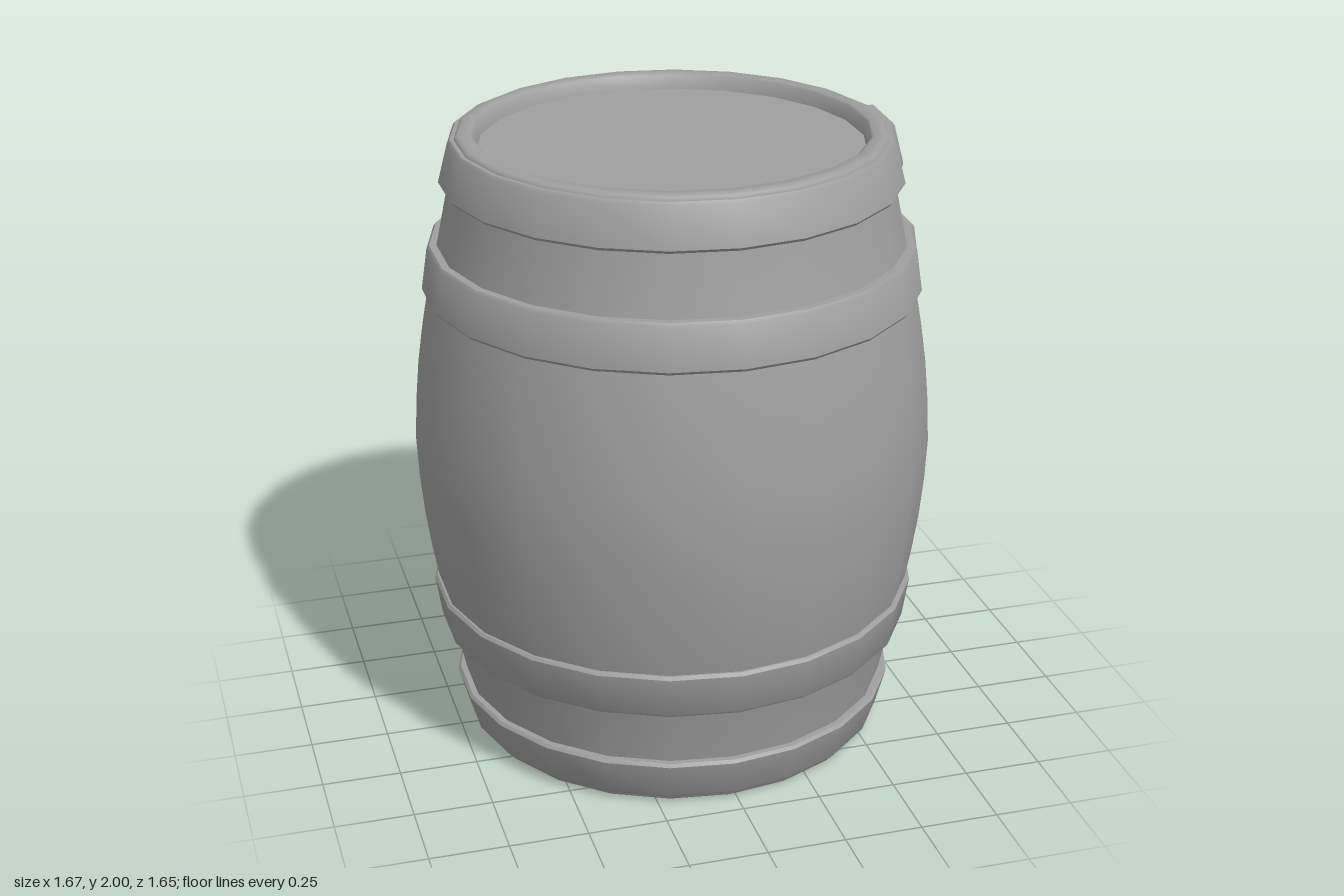
import * as THREE from 'three';
import { toCreasedNormals } from 'three/addons/utils/BufferGeometryUtils.js';

const SIDES = 22;
const STEP = (Math.PI * 2) / SIDES;
const CREASE = 0.8;
const LIFTS = [-0.02, 0.009, 0.018];
const material = new THREE.MeshStandardMaterial({ color: 0x9f9f9f });

const points = (list) => list.map(([r, y]) => new THREE.Vector2(r, y));

function addMesh(parent, name, geometry) {
  const mesh = new THREE.Mesh(geometry, material);
  mesh.name = name;
  parent.add(mesh);
  return mesh;
}

const turned = (profile, sides) =>
  toCreasedNormals(new THREE.LatheGeometry(points(profile), sides), CREASE);

// Lapped end of a hoop: a short arc that emerges from the band, closed at its end
function lapGeometry(profile) {
  const n = profile.length;
  const geometry = new THREE.LatheGeometry(points(profile), 2, STEP * 4, STEP * 2);
  const pos = geometry.attributes.position;
  for (let i = 0; i < pos.count; i++) {
    const r = Math.hypot(pos.getX(i), pos.getZ(i));
    const k = 1 + LIFTS[Math.floor(i / n)] / r;
    pos.setX(i, pos.getX(i) * k);
    pos.setZ(i, pos.getZ(i) * k);
  }
  const index = Array.from(geometry.index.array);
  for (let j = 1; j < n - 1; j++) index.push(2 * n, 2 * n + j + 1, 2 * n + j);
  geometry.setIndex(index);
  return toCreasedNormals(geometry, CREASE);
}

// Metal hoop with bevelled edges, lapped end and bolt; r0 at the bottom, r1 at the top
function makeHoop(name, y0, r0, y1, r1, boltZ) {
  const hoop = new THREE.Group();
  hoop.name = name;
  const profile = [
    [r0 - 0.045, y0], [r0 - 0.008, y0], [r0, y0 + 0.01],
    [r1, y1 - 0.01], [r1 - 0.008, y1], [r1 - 0.045, y1],
  ];
  addMesh(hoop, 'hoopBand', turned(profile, SIDES));
  addMesh(hoop, 'hoopLap', lapGeometry(profile));

  // Domed six-sided bolt, tilted with the slope of the hoop
  const bolt = addMesh(hoop, 'hoopBolt', turned(
    [[0.029, -0.012], [0.029, 0.004], [0.021, 0.012], [0, 0.015]], 6));
  bolt.position.set(((r0 + r1) / 2) * Math.cos(STEP / 2) + 0.018, (y0 + y1) / 2, boltZ);
  bolt.rotation.z = -Math.PI / 2 + Math.atan2(r0 - r1, y1 - y0);
  return hoop;
}

export function createModel() {
  const barrel = new THREE.Group();
  barrel.name = 'barrel';

  // Bulging body with a rounded rim and a recessed lid at each end
  const upper = [
    [0.826, 1], [0.82, 1.13], [0.807, 1.27], [0.788, 1.4], [0.768, 1.51],
    [0.735, 1.65], [0.693, 1.85], [0.671, 1.985], [0.666, 1.995], [0.656, 2],
    [0.62, 2], [0.612, 1.994], [0.602, 1.95], [0, 1.95],
  ];
  const lower = upper.slice(1).reverse().map(([r, y]) => [r, 2 - y]);
  addMesh(barrel, 'body', turned([...lower, ...upper], SIDES));

  // Four hoops, flaring toward the belly
  barrel.add(
    makeHoop('topHoop', 1.845, 0.722, 1.988, 0.69, -0.05),
    makeHoop('upperHoop', 1.5, 0.786, 1.652, 0.766, -0.06),
    makeHoop('lowerHoop', 0.358, 0.766, 0.51, 0.786, -0.06),
    makeHoop('bottomHoop', 0.022, 0.69, 0.162, 0.722, -0.05),
  );

  // Stopper in the side of the belly
  const stopper = addMesh(barrel, 'stopper', turned(
    [[0.05, 0], [0.056, 0.03], [0.063, 0.042], [0.063, 0.074], [0.058, 0.08], [0, 0.08]], 20));
  stopper.position.set(0.775, 1.045, 0);
  stopper.rotation.z = -Math.PI / 2;

  barrel.position.x = -0.02;
  const model = new THREE.Group();
  model.name = 'model';
  model.add(barrel);
  return model;
}
